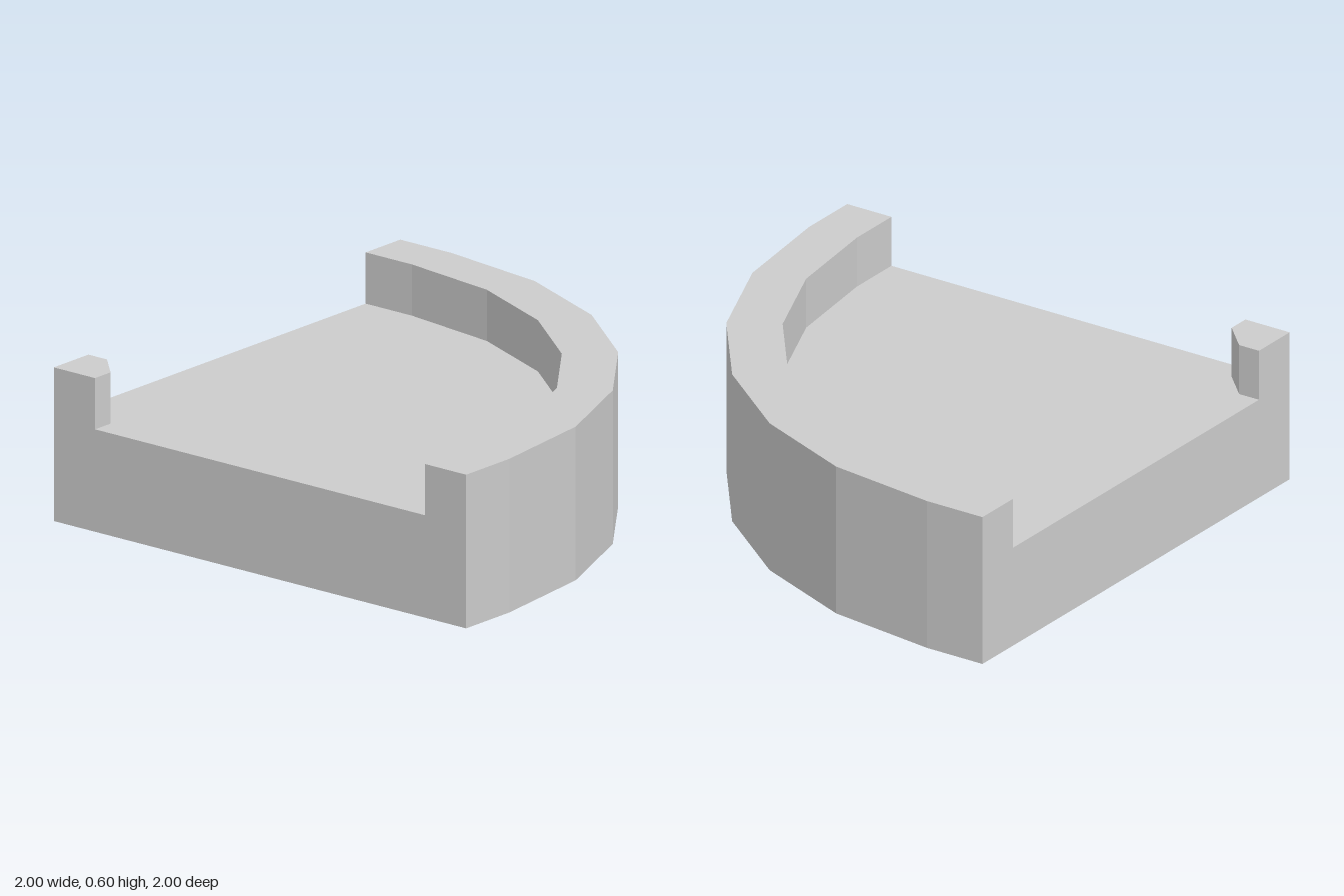
import * as THREE from 'three';

const FLOOR = 0.4, TOP = 0.6;
const material = new THREE.MeshStandardMaterial({ color: 0xcccccc, flatShading: true });

// Faceted quarter arc, from the front (+z) end round to the +x end
function arc(centre, radius, segments) {
  return Array.from({ length: segments + 1 }, (_, i) => {
    const a = (Math.PI / 2) * (1 - i / segments);
    return new THREE.Vector2(centre + radius * Math.cos(a), centre + radius * Math.sin(a));
  });
}

// Upright slab from a plan outline of (x, z) points
function slab(name, outline, bottom, top) {
  const geometry = new THREE.ExtrudeGeometry(new THREE.Shape(outline), {
    depth: top - bottom, bevelEnabled: false,
  });
  geometry.rotateX(Math.PI / 2).translate(0, top, 0);
  const mesh = new THREE.Mesh(geometry, material);
  mesh.name = name;
  return mesh;
}

export function createModel() {
  const model = new THREE.Group();
  model.name = 'quarterRoundTray';
  const p = (x, z) => new THREE.Vector2(x, z);

  const outer = [p(-1, 1), ...arc(-0.75, 1.75, 6), p(1, -1)];
  const inner = [p(-1, 0.8), ...arc(-0.775, 1.575, 6), p(0.8, -1)];

  // Solid base whose top is the floor
  model.add(slab('base', [p(-1, -1), ...outer], 0, FLOOR));

  // Raised rim along the curved edge
  model.add(slab('rim', [...outer, ...inner.reverse()], FLOOR, TOP));

  // Chamfered post in the square corner
  model.add(slab('cornerPost',
    [p(-1, -1), p(-1, -0.8), p(-0.91, -0.8), p(-0.8, -0.91), p(-0.8, -1)], FLOOR, TOP));

  return model;
}
